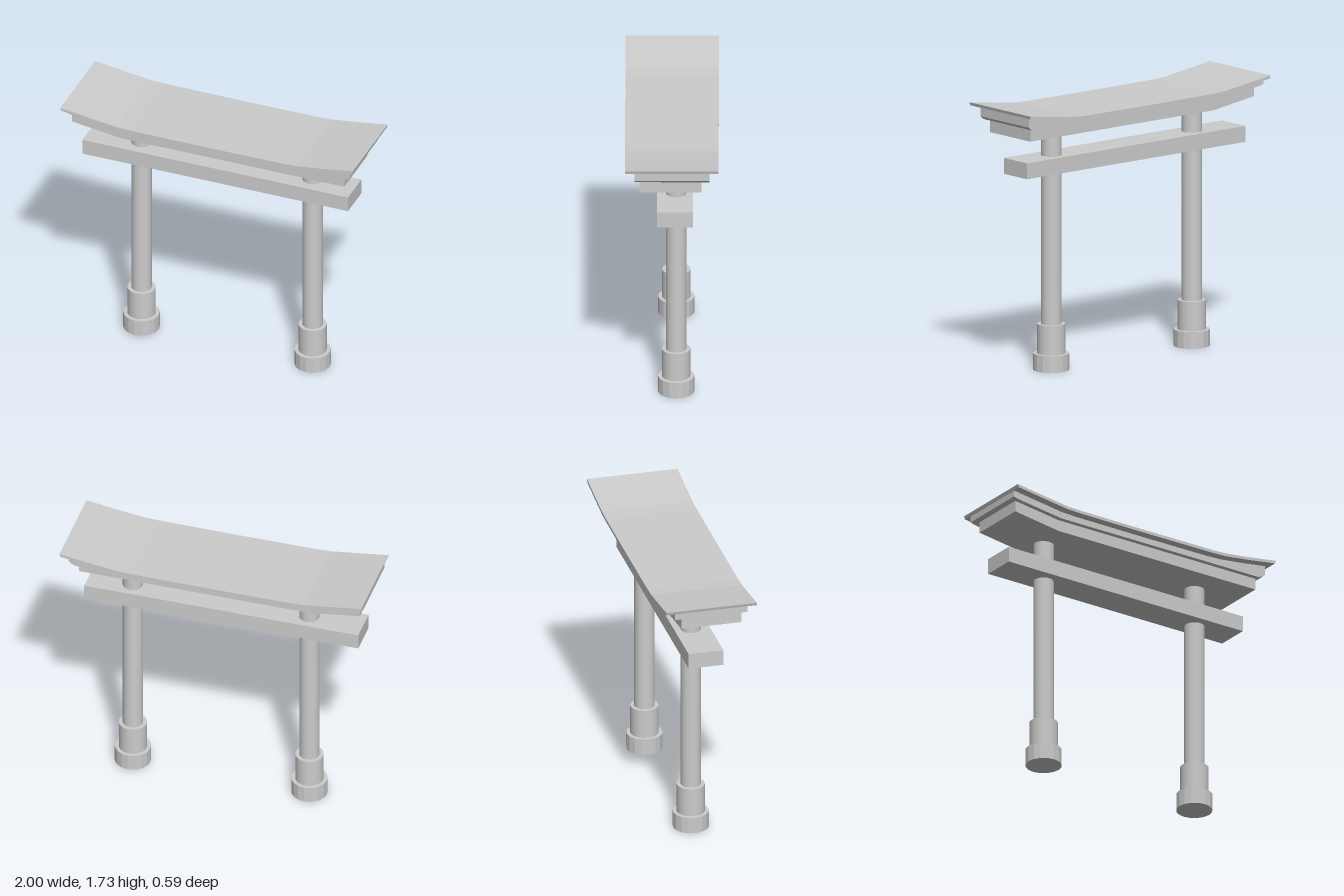
import * as THREE from 'three';

const grey = new THREE.MeshStandardMaterial({ color: 0xcccccc });

function add(group, name, geometry, x = 0, y = 0, z = 0, material = grey) {
  const mesh = new THREE.Mesh(geometry, material);
  mesh.name = name;
  mesh.position.set(x, y, z);
  group.add(mesh);
  return mesh;
}

// Side-to-side outline (x, y) extruded from zBack to zFront
function slab(group, name, outline, zBack, zFront) {
  const shape = new THREE.Shape(outline.map(([x, y]) => new THREE.Vector2(x, y)));
  const geometry = new THREE.ExtrudeGeometry(shape, { depth: zFront - zBack, bevelEnabled: false });
  add(group, name, geometry, 0, 0, zBack);
}

export function createModel() {
  const model = new THREE.Group();
  model.name = 'gate';
  const flat = grey.clone();
  flat.flatShading = true;

  // Posts, each with a faceted foot and a round sleeve
  const z = -0.025;
  for (const [side, x] of [['right', -0.574], ['left', 0.595]]) {
    const post = new THREE.Group();
    post.name = side + 'Post';
    post.position.set(x, 0, z);
    add(post, 'foot', new THREE.CylinderGeometry(0.116, 0.116, 0.108, 16), 0, 0.054, 0, flat);
    add(post, 'sleeve', new THREE.CylinderGeometry(0.09, 0.09, 0.19, 32), 0, 0.203, 0);
    add(post, 'column', new THREE.CylinderGeometry(0.065, 0.065, 1.26, 32), 0, 0.92, 0);
    model.add(post);
  }

  // Straight tie beam through both posts
  add(model, 'tieBeam', new THREE.BoxGeometry(1.815, 0.103, 0.228), -0.022, 1.337, -0.017);

  // Lintel, upswept only at its right end
  slab(model, 'lintel', [
    [-0.957, 1.587], [-0.62, 1.54], [0.905, 1.54], [0.905, 1.618], [-0.62, 1.618], [-0.957, 1.662],
  ], -0.186, 0.207);

  // Middle course, following the underside of the roof
  slab(model, 'middleCourse', [
    [-0.99, 1.67], [-0.957, 1.66], [-0.62, 1.615], [0.905, 1.615], [0.94, 1.628], [0.958, 1.645],
    [0.958, 1.705], [0.8, 1.682], [0.62, 1.661], [0.52, 1.658], [-0.52, 1.658], [-0.62, 1.661],
    [-0.8, 1.685], [-0.99, 1.711],
  ], -0.237, 0.24);

  // Thin curved roof with upswept ends
  const top = [
    [-1, 1.732], [-0.8, 1.704], [-0.62, 1.68], [-0.52, 1.676], [0, 1.674],
    [0.52, 1.676], [0.62, 1.68], [0.8, 1.702], [1, 1.732],
  ];
  const under = top.map(([x, y]) => [x * 0.994, y - 0.02]);
  slab(model, 'roof', [...under, ...top.reverse()], -0.295, 0.298);

  return model;
}
